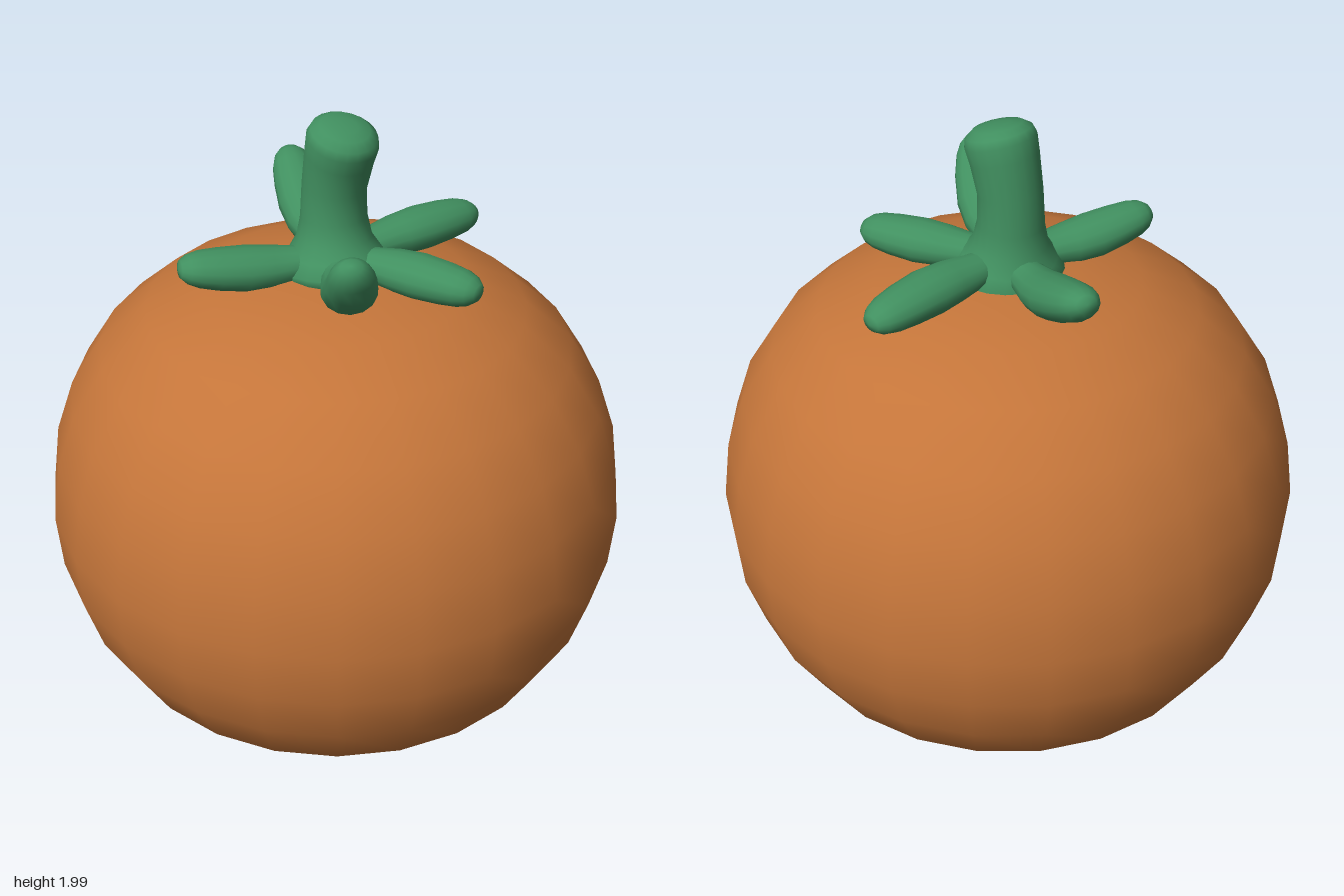
import * as THREE from 'three';
import { mergeVertices } from 'three/addons/utils/BufferGeometryUtils.js';

const V = (p) => new THREE.Vector3(...p);

// Bends a closed lathe along a curve; profile pairs are [radius, fraction of length]
function sweep(points, profile, sides, side, flat = 1) {
  const curve = new THREE.CatmullRomCurve3(points.map(V));
  const lathe = new THREE.LatheGeometry(profile.map(([r, t]) => new THREE.Vector2(r, t)), sides);
  lathe.deleteAttribute('uv');
  lathe.deleteAttribute('normal');
  const pos = lathe.attributes.position;
  for (let i = 0; i < pos.count; i++) {
    const t = THREE.MathUtils.clamp(pos.getY(i), 0, 1);
    const tangent = curve.getTangentAt(t);
    const depth = side.clone().cross(tangent).normalize();
    const across = tangent.clone().cross(depth);
    const p = curve.getPointAt(t)
      .addScaledVector(across, pos.getX(i))
      .addScaledVector(depth, pos.getZ(i) * flat);
    pos.setXYZ(i, p.x, p.y, p.z);
  }
  const geometry = mergeVertices(lathe, 1e-5);
  geometry.computeVertexNormals();
  return geometry;
}

export function createModel() {
  const group = new THREE.Group();
  const orange = new THREE.MeshStandardMaterial({ color: 0xc4753a });
  orange.name = 'orange skin';
  const green = new THREE.MeshStandardMaterial({ color: 0x419060 });
  green.name = 'stem green';
  const add = (name, geometry, material) => {
    const mesh = new THREE.Mesh(geometry, material);
    mesh.name = name;
    group.add(mesh);
  };

  // Plump fruit body
  const outline = [[0, 0], [0.2, 0.022], [0.395, 0.08], [0.57, 0.18], [0.705, 0.31], [0.8, 0.475],
    [0.85, 0.64], [0.863, 0.81], [0.838, 0.99], [0.783, 1.15], [0.688, 1.3], [0.55, 1.42],
    [0.385, 1.495], [0.2, 1.537], [0, 1.55]];
  add('fruit', new THREE.LatheGeometry(outline.map(([r, y]) => new THREE.Vector2(r, y)), 24), orange);

  // Leaning stem, flared at the base with a softly rounded tip
  add('stem', sweep(
    [[0, 1.5, 0], [-0.012, 1.65, -0.01], [-0.01, 1.8, -0.012], [0.034, 1.975, 0.005]],
    [[0, 0], [0.15, 0.02], [0.16, 0.1], [0.135, 0.18], [0.108, 0.27], [0.095, 0.4], [0.092, 0.6],
      [0.098, 0.8], [0.102, 0.9], [0.094, 0.95], [0.07, 0.985], [0.035, 0.997], [0, 1]],
    20, new THREE.Vector3(1, 0, 0)), green);

  // Five finger-like sepals, two of them curling upwards
  const sepalProfile = [[0, 0], [0.055, 0.03], [0.058, 0.25], [0.072, 0.42], [0.078, 0.58],
    [0.072, 0.75], [0.063, 0.87], [0.05, 0.94], [0.03, 0.985], [0, 1]];
  const sepals = {
    leftSepal: [[0, 1.57, 0], [0.22, 1.57, -0.01], [0.455, 1.57, 0]],
    backLeftSepal: [[0, 1.57, 0], [0.11, 1.575, -0.23], [0.21, 1.565, -0.465]],
    backRightSepal: [[0, 1.57, 0], [-0.16, 1.575, -0.14], [-0.27, 1.63, -0.25], [-0.36, 1.69, -0.34]],
    frontRightSepal: [[0, 1.57, 0], [-0.15, 1.57, 0.165], [-0.305, 1.605, 0.345]],
    frontLeftSepal: [[0, 1.57, 0], [0.13, 1.575, 0.17], [0.195, 1.64, 0.26], [0.24, 1.755, 0.34]],
  };
  for (const [name, points] of Object.entries(sepals)) {
    const out = V(points.at(-1)).setY(0).normalize();
    const side = new THREE.Vector3(out.z, 0, -out.x);
    add(name, sweep(points, sepalProfile, 14, side, 0.8), green);
  }
  return group;
}
